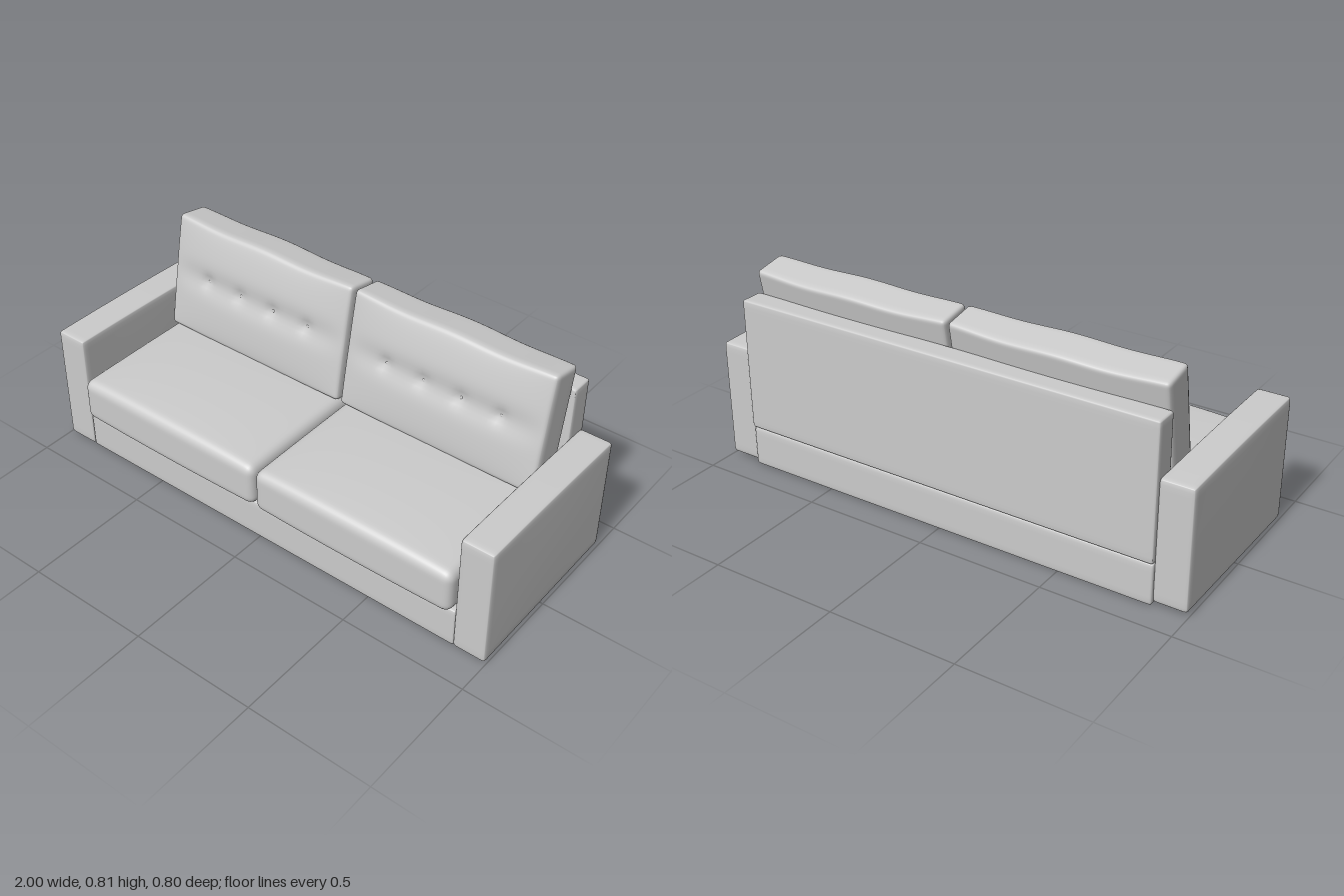
import * as THREE from 'three';
import { mergeVertices } from 'three/addons/utils/BufferGeometryUtils.js';

const material = new THREE.MeshStandardMaterial({ color: 0xcccccc });

// Box with rounded edges; reshape(p, u, v, w) then moves each point,
// where u, v, w run from -1 to 1 across the box.
function softBox(name, size, radius, segments, reshape) {
  const geo = new THREE.BoxGeometry(2, 2, 2, ...segments);
  geo.deleteAttribute('uv');
  geo.deleteAttribute('normal');
  const pos = geo.attributes.position;
  const half = new THREE.Vector3(...size).multiplyScalar(0.5);
  const inner = half.clone().subScalar(radius);
  const p = new THREE.Vector3(), core = new THREE.Vector3();
  for (let i = 0; i < pos.count; i++) {
    p.fromBufferAttribute(pos, i);
    // crowd the grid lines towards the edges
    p.set(...p.toArray().map((t) => Math.sin((t * Math.PI) / 2))).multiply(half);
    core.copy(p).clamp(inner.clone().negate(), inner);
    p.sub(core).setLength(radius).add(core);
    if (reshape) reshape(p, p.x / half.x, p.y / half.y, p.z / half.z);
    pos.setXYZ(i, p.x, p.y, p.z);
  }
  const merged = mergeVertices(geo, 1e-5);
  merged.computeVertexNormals();
  const mesh = new THREE.Mesh(merged, material);
  mesh.name = name;
  return mesh;
}

const dome = (a, b) => Math.max(0, 1 - a * a) * Math.max(0, 1 - b * b);

// Tuft positions on the front of a back cushion
const tuftX = [-0.245, -0.08, 0.08, 0.245];
const tuftY = 0.01;

function frontRelief(x, y, u, v) {
  const crown = 0.026 * Math.sqrt(dome(u, v));
  const crease = 0.014 * Math.exp(-(((y - tuftY) / 0.05) ** 2)) * (1 - u ** 4);
  let dimples = 0;
  for (const tx of tuftX) {
    const d = Math.hypot(x - tx, y - tuftY);
    dimples += 0.013 * Math.exp(-((d / 0.025) ** 2));
  }
  return crown - crease - dimples;
}

function backCushion() {
  const group = new THREE.Group();
  group.name = 'backCushion';
  const d = 0.135;
  group.add(softBox('backPad', [0.848, 0.47, d], 0.016, [64, 40, 10], (p, u, v, w) => {
    const x = p.x, y = p.y;
    if (w > 0) p.z += w * frontRelief(x, y, u, v);
    else p.z += w * 0.012 * (1 - u * u);
    // slightly wavy top edge
    if (v > 0) p.y += v * 0.003 * Math.cos(x * 15);
  }));
  // buttons sunk into the dimples
  const buttonGeo = new THREE.SphereGeometry(0.007, 12, 8).scale(1, 1, 0.5);
  for (const tx of tuftX) {
    const button = new THREE.Mesh(buttonGeo, material);
    button.name = 'tuftButton';
    button.position.set(tx, tuftY, d / 2 + frontRelief(tx, tuftY, tx / 0.424, tuftY / 0.235) + 0.001);
    group.add(button);
  }
  return group;
}

export function createModel() {
  const model = new THREE.Group();
  model.name = 'sofa';

  // Base plinth
  const base = softBox('base', [1.735, 0.163, 0.755], 0.012, [24, 10, 16]);
  base.position.set(0, 0.0815, -0.0145);
  model.add(base);

  // Back panel, thinning a little towards the top
  const back = softBox('backPanel', [1.735, 0.53, 0.1], 0.01, [24, 14, 10], (p, u, v, w) => {
    if (w > 0) p.z -= w * 0.006 * v;
  });
  back.position.set(0, 0.43, -0.348);
  model.add(back);

  for (const side of [-1, 1]) {
    // Arm, a touch taller towards the front
    const arm = softBox('arm', [0.13, 0.475, 0.748], 0.012, [10, 16, 24], (p, u, v, w) => {
      if (v > 0) p.y += v * (0.003 + 0.005 * w + 0.004 * (1 - w * w));
      else p.y += v * (0.004 + 0.005 * w);
      p.x += u * 0.003 * dome(v, w);
    });
    arm.position.set(side * 0.93, 0.25, -0.009);
    model.add(arm);

    // Seat cushion with a crowned top
    const seat = softBox('seatCushion', [0.854, 0.172, 0.69], 0.034, [48, 20, 40], (p, u, v, w) => {
      if (v > 0) p.y += v * 0.028 * Math.sqrt(dome(u, w * 0.85));
      if (w > 0) p.z += w * 0.006 * (1 - u * u);
    });
    seat.position.set(side * 0.43, 0.247, 0.047);
    model.add(seat);

    // Leaning back cushion
    const cushion = backCushion();
    cushion.position.set(side * 0.43, 0.567, -0.214);
    cushion.rotation.x = -0.183;
    model.add(cushion);
  }
  return model;
}
